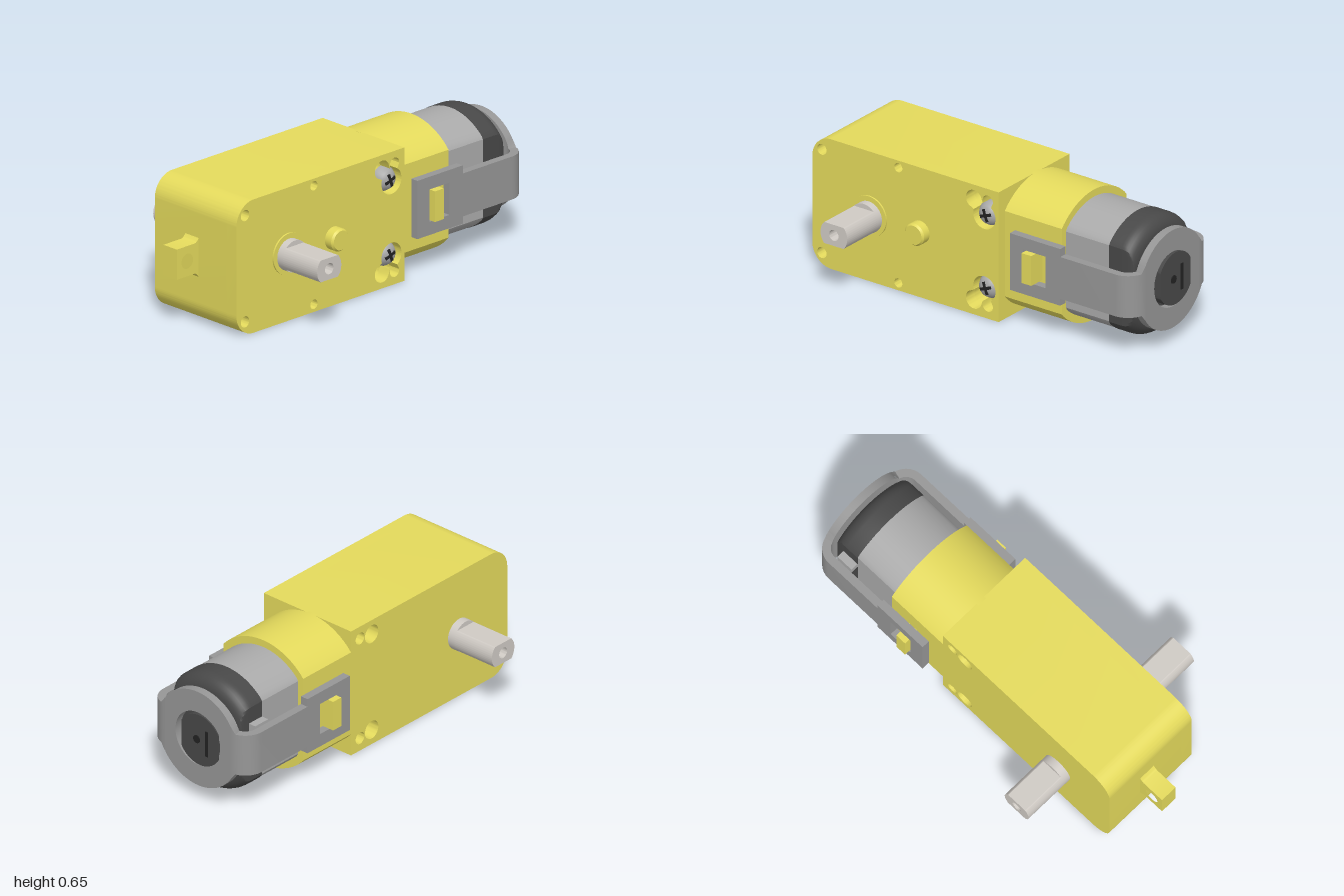
import * as THREE from 'three';
import { toCreasedNormals } from 'three/addons/utils/BufferGeometryUtils.js';

const mat = (color) => new THREE.MeshStandardMaterial({ color });
const CX = -0.026, CY = 0.327; // motor axis

export function createModel() {
  const root = new THREE.Group();
  const yellow = mat(0xe4da5c), grey = mat(0xaaaaaa), dark = mat(0x484848);
  const steel = mat(0x969696), pale = mat(0xcfcac4), black = mat(0x222222);

  const add = (name, geo, material, x = 0, y = 0, z = 0) => {
    const m = new THREE.Mesh(geo, material);
    m.name = name;
    m.position.set(x, y, z);
    root.add(m);
    return m;
  };
  const box = (name, material, x0, x1, y0, y1, z0, z1) =>
    add(name, new THREE.BoxGeometry(x1 - x0, y1 - y0, z1 - z0), material,
      (x0 + x1) / 2, (y0 + y1) / 2, (z0 + z1) / 2);
  // cylinder lying along x
  const rod = (name, material, r, x0, x1, y, z, r1 = r) =>
    add(name, new THREE.CylinderGeometry(r1, r, x1 - x0, 40).rotateZ(-Math.PI / 2), material, (x0 + x1) / 2, y, z);
  // shape drawn in (-z, y), extruded from x0 to x1
  const side = (name, shape, x0, x1, material) => {
    const g = new THREE.ExtrudeGeometry(shape, { depth: x1 - x0, bevelEnabled: false, curveSegments: 20 });
    return add(name, toCreasedNormals(g.rotateY(Math.PI / 2), 0.5), material, x0);
  };
  const hole = (shape, z, y, r) => shape.holes.push(new THREE.Path().absarc(-z, y, r, 0, Math.PI * 2, true));
  const rect = (z0, z1, y0, y1) => [[-z1, y0], [-z0, y0], [-z0, y1], [-z1, y1]].map(p => new THREE.Vector2(...p));

  // circle cut by flats at +-w (in x) and +-h (in y)
  const cutCircle = (r, w, h = r, n = 96) => Array.from({ length: n }, (_, i) => {
    const a = (i / n) * Math.PI * 2;
    return new THREE.Vector2(
      THREE.MathUtils.clamp(r * Math.cos(a), -w, w), THREE.MathUtils.clamp(r * Math.sin(a), -h, h));
  });
  // skin over equal-length rings of points
  const loft = (rings) => {
    const n = rings[0].length, idx = [];
    for (let i = 0; i < rings.length - 1; i++) for (let j = 0; j < n; j++) {
      const a = i * n + j, b = i * n + (j + 1) % n;
      idx.push(a, a + n, b, b, a + n, b + n);
    }
    const g = new THREE.BufferGeometry();
    g.setAttribute('position', new THREE.Float32BufferAttribute(rings.flat(2), 3));
    g.setIndex(idx);
    return toCreasedNormals(g, 0.5);
  };
  // flat-sided barrel along z, sections [z, radius, half width] from front to back
  const barrel = (name, sections, material, cx = CX) => {
    const full = [[sections[0][0], 0, 0], ...sections, [sections.at(-1)[0], 0, 0]];
    return add(name, loft(full.map(([z, r, w]) => cutCircle(r, w).map(p => [cx + p.x, CY + p.y, z]))), material);
  };

  // gearbox: main body plus a cover layer holding the screw pockets
  const outline = () => {
    const s = new THREE.Shape(), r = 0.11, f = -0.86, b = 0.212, t = 0.652;
    s.moveTo(b, 0).lineTo(b, t).lineTo(f + r, t);
    s.absarc(f + r, t - r, r, Math.PI / 2, Math.PI, false);
    s.absarc(f + r, r, r, Math.PI, Math.PI * 1.5, false);
    s.closePath();
    return s;
  };
  const body = outline(), cover = outline(), floorX = 0.2;
  for (const m of [-1, 1]) {
    const y = (d) => 0.327 + m * d;
    hole(body, -0.07, y(0.252), 0.046);
    hole(body, -0.15, y(0.262), 0.03);
    rod('smallHoleFloor', yellow, 0.031, -0.2, 0.15, y(0.262), -0.15);
    // pocket outline: union of the screw seat and the two neighbouring holes
    const lobes = [[0, 0, 0.064], [-0.06, m * 0.069, 0.046], [0.02, m * 0.079, 0.03]];
    const pts = Array.from({ length: 120 }, (_, i) => {
      const a = (i / 120) * Math.PI * 2, c = Math.cos(a), s = Math.sin(a);
      const d = Math.max(...lobes.map(([u, v, r]) => {
        const t = u * c + v * s, q = r * r - (u * u + v * v - t * t);
        return q > 0 ? t + Math.sqrt(q) : 0;
      }));
      return new THREE.Vector2(0.13 + d * c, y(0.183) + d * s);
    });
    cover.holes.push(new THREE.Path(pts));
    // recessed pin holes
    for (const [z, d, r] of [[0.805, 0.26, 0.027], [0.365, 0.29, 0.023]]) {
      hole(cover, z, y(d), r);
    }
    // screw with domed head and cross slot
    const prof = [[0, 0.06], [0.025, 0.057], [0.045, 0.046], [0.058, 0.025], [0.06, 0]].reverse();
    add('screwHead', new THREE.LatheGeometry(prof.map(p => new THREE.Vector2(...p)), 32).rotateZ(-Math.PI / 2),
      grey, floorX, y(0.183), -0.13);
    for (const k of [0, 1]) {
      const slot = add('screwSlot', new THREE.BoxGeometry(0.01, 0.062, 0.014), black, floorX + 0.056, y(0.183), -0.13);
      slot.rotation.x = 0.35 + k * Math.PI / 2;
    }
  }
  side('gearboxBody', body, -0.27, floorX, yellow);
  side('gearboxCover', cover, floorX, 0.265, yellow);
  rod('coverBump', yellow, 0.055, 0.26, 0.306, 0.33, 0.24);
  rod('coverBumpChamfer', yellow, 0.055, 0.306, 0.316, 0.33, 0.24, 0.047);
  rod('shaftCollar', yellow, 0.1, 0.26, 0.273, 0.33, 0.53);

  // front mounting tab with flared root
  const tab = new THREE.Shape();
  tab.moveTo(-0.85, 0.232).lineTo(-0.86, 0.235).quadraticCurveTo(-0.875, 0.255, -0.885, 0.257);
  tab.lineTo(-1, 0.257).lineTo(-1, 0.405).lineTo(-0.885, 0.405);
  tab.quadraticCurveTo(-0.875, 0.405, -0.86, 0.425).lineTo(-0.85, 0.428).closePath();
  hole(tab, 0.933, 0.331, 0.037);
  side('mountingTab', tab, -0.07, 0.018, yellow);

  // output shaft: round middle, flatted bored ends
  rod('shaft', pale, 0.077, -0.31, 0.31, 0.328, 0.53);
  for (const [x0, x1] of [[-0.54, -0.31], [0.31, 0.535]]) {
    const s = new THREE.Shape(cutCircle(0.077, 0.077, 0.053).map(p => p.add(new THREE.Vector2(-0.53, 0.328))));
    hole(s, 0.53, 0.328, 0.027);
    side('shaftEnd', s, x0, x1, pale);
  }

  // motor housing, can, end cap and rear boss
  barrel('motorHousing', [[-0.2, 0.326, 0.244], [-0.54, 0.326, 0.244]], yellow);
  barrel('motorCan', [[-0.53, 0.29, 0.213], [-0.8, 0.29, 0.213]], grey);
  const capSections = [[-0.79, 0.292, 0.215]];
  for (let i = 0; i <= 8; i++) {
    const a = (i / 8) * Math.PI / 2;
    capSections.push([-0.86 - 0.07 * Math.sin(a), 0.222 + 0.07 * Math.cos(a), 0.203 + 0.012 * Math.cos(a)]);
  }
  barrel('motorCap', capSections, dark);
  barrel('rearBoss', [[-0.92, 0.13, 0.112], [-0.996, 0.13, 0.112]], dark, -0.043);
  add('rearShaftHole', new THREE.CylinderGeometry(0.02, 0.02, 0.01, 24).rotateX(Math.PI / 2), black, CX, CY, -0.995);
  box('rearSlot', black, -0.095, -0.08, CY - 0.07, CY + 0.06, -1, -0.99);
  for (const y of [0.23, 0.42]) box('terminal', grey, -0.28, -0.23, y - 0.02, y + 0.02, -0.88, -0.79);

  // retaining clip: rear ring, two bent arms, windowed end plates on catches
  const ring = new THREE.Shape(cutCircle(0.245, 0.202));
  ring.holes.push(new THREE.Path().absarc(0, 0, 0.137, 0, Math.PI * 2, true));
  const ringGeo = new THREE.ExtrudeGeometry(ring, { depth: 0.04, bevelEnabled: false, curveSegments: 32 });
  add('clipRing', toCreasedNormals(ringGeo, 0.5), steel, CX, CY, -0.99);
  for (const s of [1, -1]) {
    const section = (a, z) => {
      const d = 0.202 + 0.08 * a, h = Math.max(0.105, Math.sqrt(Math.max(0, 0.06 - d * d)));
      const pt = (r, y) => [CX + s * (0.202 + r * Math.sin(a)), CY + y, z - r * Math.cos(a)];
      const q = [pt(0.06, -h), pt(0.06, h), pt(0.1, h), pt(0.1, -h)];
      return s > 0 ? q : q.reverse();
    };
    const rings = Array.from({ length: 13 }, (_, i) => section((i / 12) * Math.PI / 2, -0.89));
    rings.push(section(Math.PI / 2, -0.56));
    add('clipArm', loft(rings), steel);
    const plate = new THREE.Shape(rect(-0.575, -0.285, 0.187, 0.472));
    plate.holes.push(new THREE.Path(rect(-0.49, -0.362, 0.252, 0.41).reverse()));
    const xa = CX + s * 0.262, xb = CX + s * 0.302;
    side('clipPlate', plate, Math.min(xa, xb), Math.max(xa, xb), steel);
    const c0 = CX + s * 0.23, c1 = CX + s * 0.328;
    box('clipCatch', yellow, Math.min(c0, c1), Math.max(c0, c1), 0.255, 0.405, -0.428, -0.372);
  }
  return root;
}
